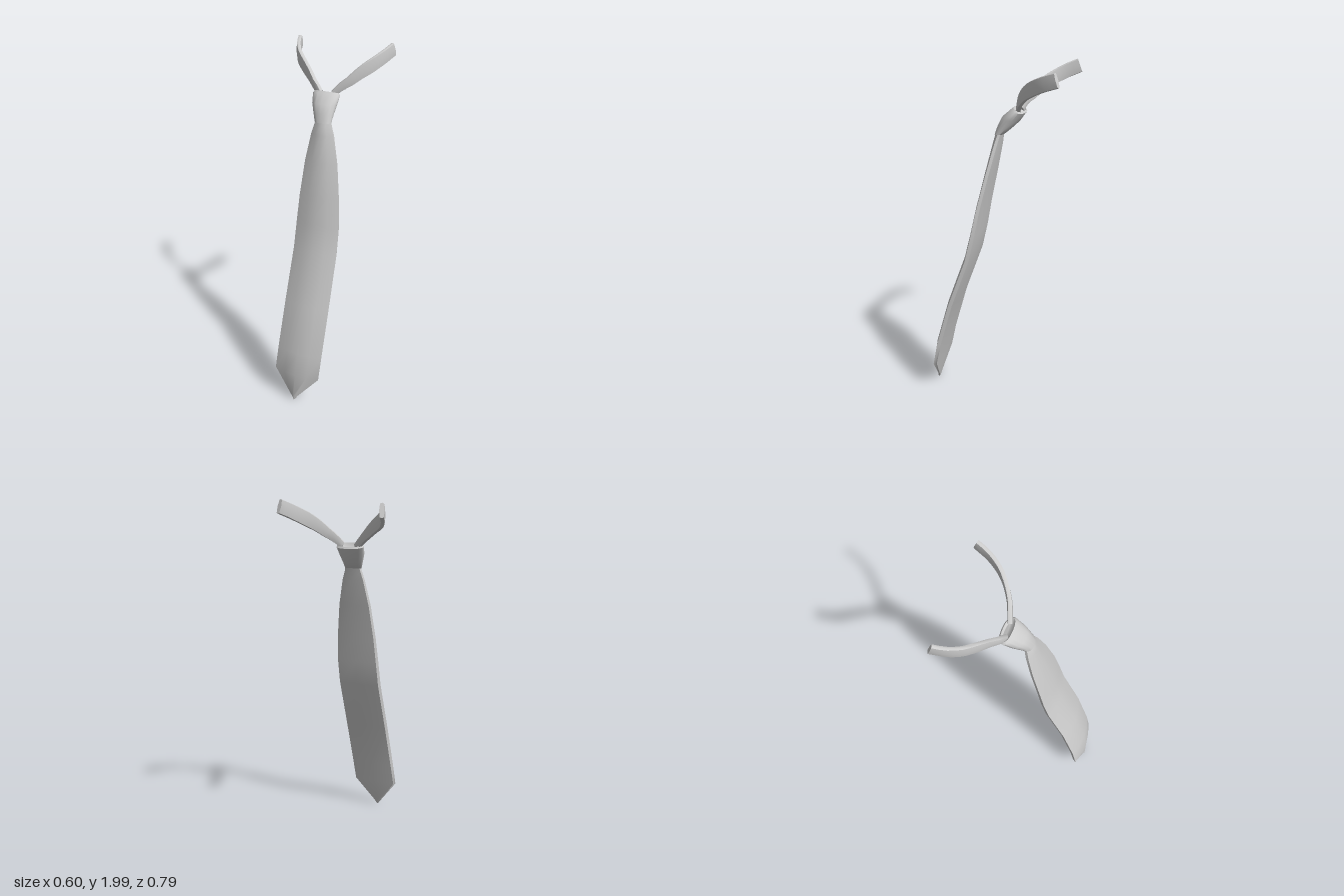
import * as THREE from 'three';
import { toCreasedNormals } from 'three/addons/utils/BufferGeometryUtils.js';

// Skin a list of closed rings (ordered right-handed about the travel direction) and cap both ends
function loft(rings, crease = 0.75) {
  const n = rings[0].length, pos = [], index = [];
  const centre = (ring) => ring.reduce((s, p) => s.add(p), new THREE.Vector3()).divideScalar(n);
  rings.forEach((ring) => ring.forEach((p) => pos.push(p.x, p.y, p.z)));
  for (let r = 0; r < rings.length - 1; r++) {
    for (let i = 0; i < n; i++) {
      const a = r * n + i, b = r * n + (i + 1) % n;
      index.push(a, b, b + n, a, b + n, a + n);
    }
  }
  const last = (rings.length - 1) * n, c = rings.length * n;
  for (const ring of [rings[0], rings[rings.length - 1]]) pos.push(...centre(ring).toArray());
  for (let i = 0; i < n; i++) {
    const j = (i + 1) % n;
    index.push(c, j, i, c + 1, last + i, last + j);
  }
  const geo = new THREE.BufferGeometry();
  geo.setAttribute('position', new THREE.Float32BufferAttribute(pos, 3));
  geo.setIndex(index);
  return toCreasedNormals(geo, crease);
}

// Blade: [y, left x, right x, front z, back z] from the knot down to the tip
function bladeGeometry() {
  const rows = [
    [1.66, 0.0, 0.075, -0.01, -0.045], [1.6, -0.012, 0.09, 0.015, -0.03],
    [1.55, -0.025, 0.11, 0.026, -0.02], [1.4, -0.047, 0.15, 0.06, 0.013],
    [1.2, -0.06, 0.185, 0.106, 0.056], [1.05, -0.065, 0.2, 0.138, 0.082],
    [0.9, -0.066, 0.204, 0.175, 0.115], [0.6, -0.068, 0.21, 0.283, 0.223],
    [0.32, -0.076, 0.206, 0.364, 0.304], [0.18, -0.083, 0.2, 0.387, 0.338],
    [0.03, 0.03, 0.073, 0.395, 0.375], [0.005, 0.048, 0.058, 0.395, 0.382],
  ];
  return loft(rows.map(([y, l, r, f, b]) => {
    const w = r - l, d = f - b, at = (t, k) => new THREE.Vector3(l + w * t, y, b + d * k);
    return [at(0.97, 0.15), at(1, 0.5), at(0.75, 0.87), at(0.5, 1), at(0.25, 0.87),
      at(0, 0.5), at(0.03, 0.15), at(0.5, 0)];
  }));
}

// Knot: [centre x, half width, front y, front z, back y, back z], hollow top first
function knotGeometry() {
  const rows = [
    [0.01, 0.05, 1.745, -0.1, 1.73, -0.135], [0.01, 0.07, 1.765, -0.09, 1.745, -0.145],
    [0.01, 0.08, 1.755, -0.075, 1.735, -0.152], [0.018, 0.071, 1.71, -0.025, 1.69, -0.122],
    [0.028, 0.058, 1.66, -0.002, 1.65, -0.08], [0.037, 0.049, 1.615, 0.012, 1.62, -0.045],
    [0.037, 0.035, 1.612, 0.002, 1.618, -0.036],
  ];
  const sides = 16;
  return loft(rows.map(([cx, w, fy, fz, by, bz]) => Array.from({ length: sides }, (_, i) => {
    const a = i / sides * Math.PI * 2, k = (Math.sin(a) + 1) / 2;
    const c = Math.cos(a);
    return new THREE.Vector3(cx + w * Math.sign(c) * Math.abs(c) ** 0.8, by + (fy - by) * k, bz + (fz - bz) * k);
  })), 1.0);
}

// Neck strap: flat band swept along a curve, widening away from the knot
function strapGeometry(points) {
  const curve = new THREE.CatmullRomCurve3(points.map((p) => new THREE.Vector3(...p)));
  const section = [[1, 0], [0.7, 0.9], [0, 1], [-0.7, 0.9], [-1, 0], [-0.7, -0.9], [0, -1], [0.7, -0.9]];
  const steps = 12, rings = [];
  for (let s = 0; s <= steps; s++) {
    const t = s / steps, p = curve.getPointAt(t), dir = curve.getTangentAt(t);
    const up = new THREE.Vector3(0, 1, 0).addScaledVector(dir, -dir.y).normalize();
    const out = up.clone().cross(dir);
    const half = 0.018 + 0.021 * Math.min(1, t * 1.8);
    rings.push(section.map(([u, v]) => p.clone().addScaledVector(out, u * 0.014).addScaledVector(up, v * half)));
  }
  return loft(rings, 0.9);
}

export function createModel() {
  const fabric = new THREE.MeshStandardMaterial({ color: 0xcccccc });
  fabric.name = 'grey fabric';
  const group = new THREE.Group();
  group.name = 'necktie';
  const add = (name, geo) => {
    const mesh = new THREE.Mesh(geo, fabric);
    mesh.name = name;
    group.add(mesh);
  };
  add('blade', bladeGeometry());
  add('knot', knotGeometry());
  add('rightStrap', strapGeometry([[-0.03, 1.745, -0.115], [-0.07, 1.785, -0.13], [-0.11, 1.815, -0.16],
    [-0.17, 1.86, -0.2], [-0.225, 1.892, -0.25], [-0.262, 1.922, -0.305], [-0.288, 1.952, -0.377]]));
  add('leftStrap', strapGeometry([[0.05, 1.75, -0.12], [0.09, 1.79, -0.135], [0.125, 1.815, -0.15],
    [0.175, 1.86, -0.185], [0.225, 1.9, -0.235], [0.265, 1.935, -0.305], [0.288, 1.962, -0.38]]));
  return group;
}
